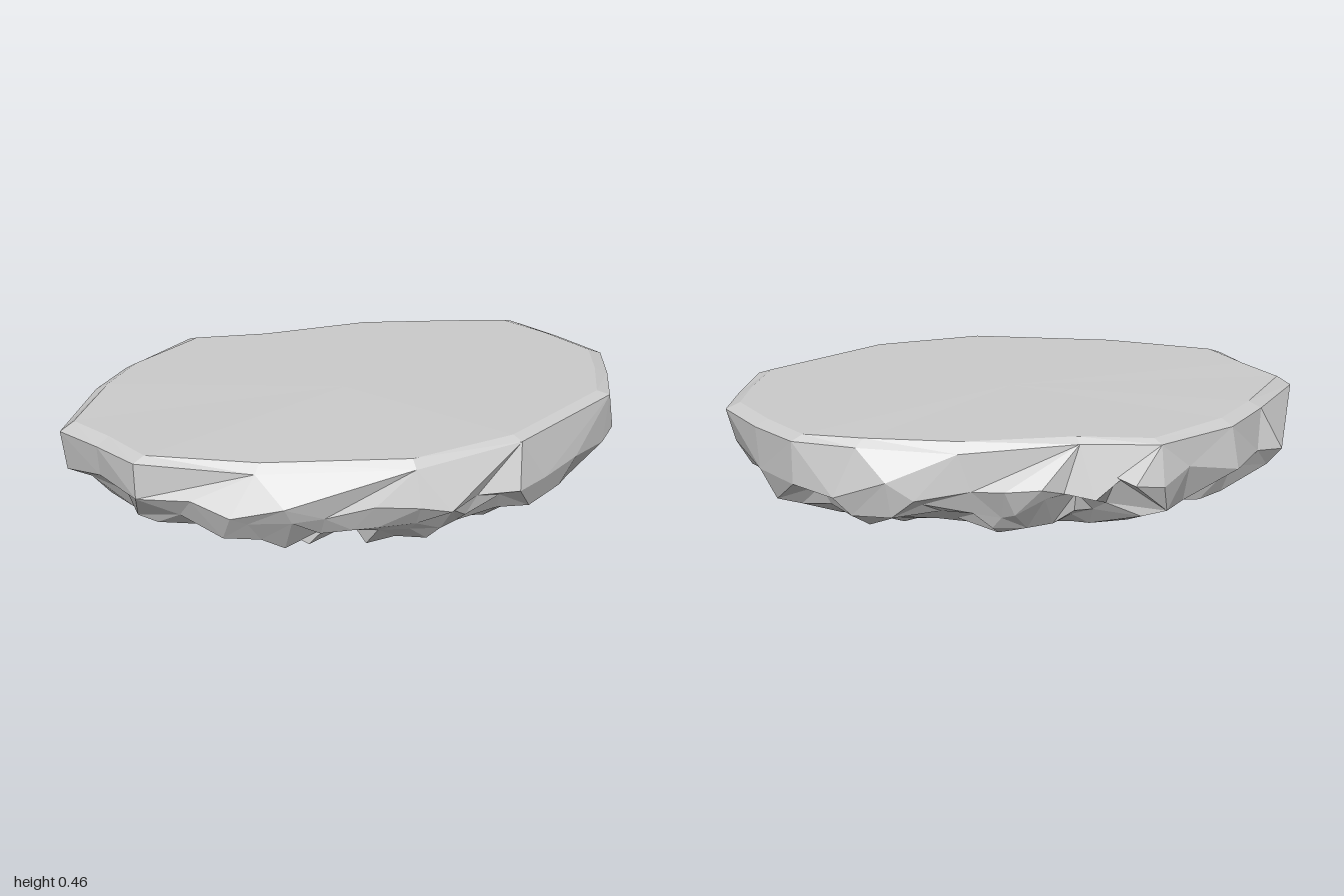
import * as THREE from 'three';

// Rim outlines as [x, z], running from the left of the plan round the back
const shoulder = [
  [-1, -0.11], [-0.8, -0.36], [-0.65, -0.5], [-0.36, -0.64], [-0.1, -0.57], [0.3, -0.53],
  [0.62, -0.42], [0.82, -0.34], [0.92, -0.16], [1, 0.04], [0.94, 0.2], [0.85, 0.38],
  [0.4, 0.59], [0, 0.62], [-0.5, 0.45], [-0.85, 0.25], [-0.92, 0.06],
];
const belly = [
  [-0.98, -0.12], [-0.88, -0.37], [-0.78, -0.4], [-0.67, -0.52], [-0.47, -0.6], [-0.36, -0.68],
  [-0.26, -0.69], [-0.21, -0.63], [-0.14, -0.635], [-0.04, -0.6], [0.04, -0.62], [0.16, -0.6],
  [0.26, -0.55], [0.45, -0.54], [0.54, -0.52], [0.7, -0.42], [0.82, -0.34], [0.91, -0.17],
  [0.97, 0.04], [0.94, 0.22], [0.88, 0.36], [0.82, 0.4], [0.66, 0.5], [0.5, 0.58], [0.37, 0.65],
  [0.22, 0.63], [0.1, 0.69], [0, 0.66], [-0.14, 0.61], [-0.3, 0.56], [-0.44, 0.56],
  [-0.6, 0.48], [-0.7, 0.38], [-0.85, 0.26], [-0.91, 0.05],
];

let seed = 7;
function jitter(amount) {
  seed = (seed * 16807) % 2147483647;
  return (seed / 2147483647 - 0.5) * 2 * amount;
}

// Radius of the belly outline along a direction
function bellyRadius(t) {
  const n = belly.length;
  const dx = Math.cos(t), dz = Math.sin(t);
  for (let i = 0; i < n; i++) {
    const [ax, az] = belly[i], [bx, bz] = belly[(i + 1) % n];
    const ca = dx * az - dz * ax, cb = dx * bz - dz * bx;
    if (ca <= 0 && cb > 0 && dx * (ax + bx) + dz * (az + bz) > 0) {
      const k = ca / (ca - cb);
      return Math.hypot(ax + (bx - ax) * k, az + (bz - az) * k);
    }
  }
  return 0.8;
}

// A ring is a list of { t: angle, p: position }
function outlineRing(points, y, scale, rough) {
  return points.map(([x, z]) => ({
    t: Math.atan2(z, x),
    p: new THREE.Vector3(x * scale, y + jitter(rough), z * scale),
  }));
}

// Rough underside ring, rounder and further back the smaller it is
function rockRing(scale, count, y, rough) {
  const ring = [];
  const inner = 1 - scale;
  for (let i = 0; i < count; i++) {
    const t = -Math.PI + ((i + 0.5 + jitter(0.3)) / count) * Math.PI * 2;
    const round = inner * inner;
    const r = (bellyRadius(t) * (1 - round) + 0.85 * round) * (scale + jitter(0.035));
    ring.push({
      t,
      p: new THREE.Vector3(
        Math.cos(t) * r - 0.06 * round,
        y + jitter(rough),
        Math.sin(t) * r - 0.16 * round,
      ),
    });
  }
  return ring;
}

export function createModel() {
  const rings = [
    outlineRing(shoulder, 0.455, 0.95, 0.002),
    outlineRing(shoulder, 0.43, 1, 0.012),
    outlineRing(belly, 0.3, 1, 0.045),
    rockRing(0.94, 38, 0.23, 0.045),
    rockRing(0.87, 38, 0.17, 0.035),
    rockRing(0.77, 34, 0.14, 0.035),
    rockRing(0.64, 30, 0.135, 0.04),
    rockRing(0.5, 24, 0.125, 0.04),
    rockRing(0.36, 18, 0.1, 0.035),
    rockRing(0.24, 12, 0.05, 0.025),
    rockRing(0.13, 7, 0.015, 0.01),
  ];
  const positions = [];
  const tri = (a, b, c) => positions.push(...a.toArray(), ...b.toArray(), ...c.toArray());

  // Stitch neighbouring rings of different counts by angle
  for (let k = 0; k < rings.length - 1; k++) {
    const a = rings[k], b = rings[k + 1];
    const at = (ring, i) => ring[i % ring.length].p;
    const turn = (ring, i) => ring[i % ring.length].t + (i >= ring.length ? Math.PI * 2 : 0);
    let i = 0, j = 0;
    while (i < a.length || j < b.length) {
      const upper = j >= b.length || (i < a.length && turn(a, i + 1) <= turn(b, j + 1));
      if (upper) {
        tri(at(a, i), at(a, i + 1), at(b, j));
        i++;
      } else {
        tri(at(a, i), at(b, j + 1), at(b, j));
        j++;
      }
    }
  }

  // Flat top and the lowest point
  const top = rings[0], low = rings[rings.length - 1];
  const topCentre = new THREE.Vector3(0, 0.458, 0);
  const lowCentre = new THREE.Vector3(-0.1, 0, -0.13);
  top.forEach((v, i) => tri(topCentre, top[(i + 1) % top.length].p, v.p));
  low.forEach((v, i) => tri(lowCentre, v.p, low[(i + 1) % low.length].p));

  const geometry = new THREE.BufferGeometry();
  geometry.setAttribute('position', new THREE.Float32BufferAttribute(positions, 3));
  geometry.computeVertexNormals();

  const rock = new THREE.Mesh(
    geometry,
    new THREE.MeshStandardMaterial({ color: 0xcccccc, flatShading: true }),
  );
  rock.name = 'flatToppedRock';

  const group = new THREE.Group();
  group.name = 'rockPlatform';
  group.add(rock);
  return group;
}
